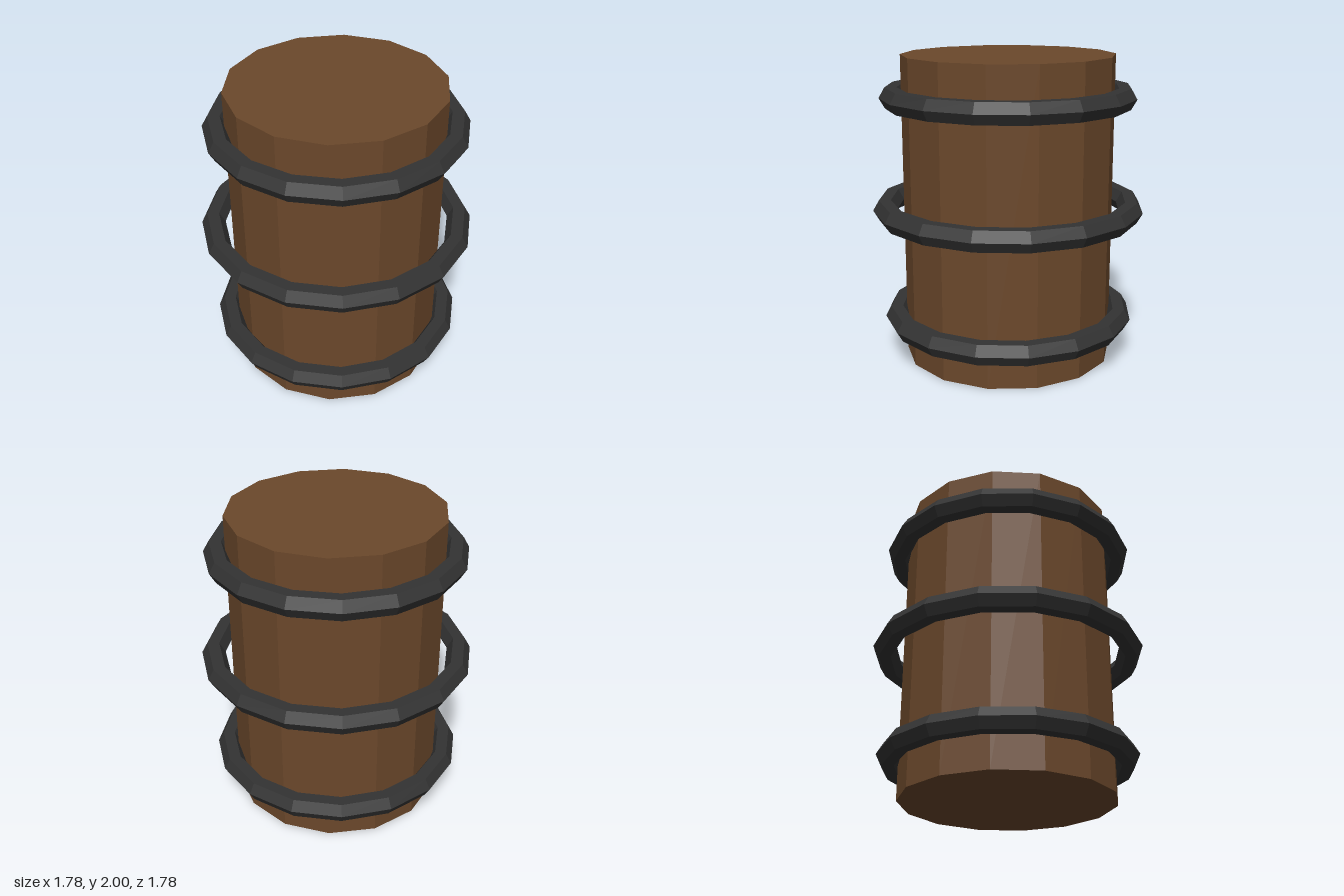
import * as THREE from 'three';

export function createModel() {
  const model = new THREE.Group();
  model.name = 'barrel';

  const wood = new THREE.MeshStandardMaterial({ color: 0x6b482b, flatShading: true });
  wood.name = 'brown wood';
  const iron = new THREE.MeshStandardMaterial({ color: 0x333333, flatShading: true });
  iron.name = 'dark iron';

  // Straight fourteen-sided body
  const body = new THREE.Mesh(new THREE.CylinderGeometry(0.69, 0.69, 2, 14), wood);
  body.name = 'body';
  body.position.y = 1;
  model.add(body);

  // Three six-sided hoops, the middle one wider
  const hoops = [
    ['lowerHoop', 0.267, 0.753],
    ['middleHoop', 1, 0.813],
    ['upperHoop', 1.733, 0.753],
  ];
  for (const [name, y, radius] of hoops) {
    const geometry = new THREE.TorusGeometry(radius, 0.077, 6, 16).rotateX(Math.PI / 2);
    const hoop = new THREE.Mesh(geometry, iron);
    hoop.name = name;
    hoop.position.y = y;
    model.add(hoop);
  }

  return model;
}
